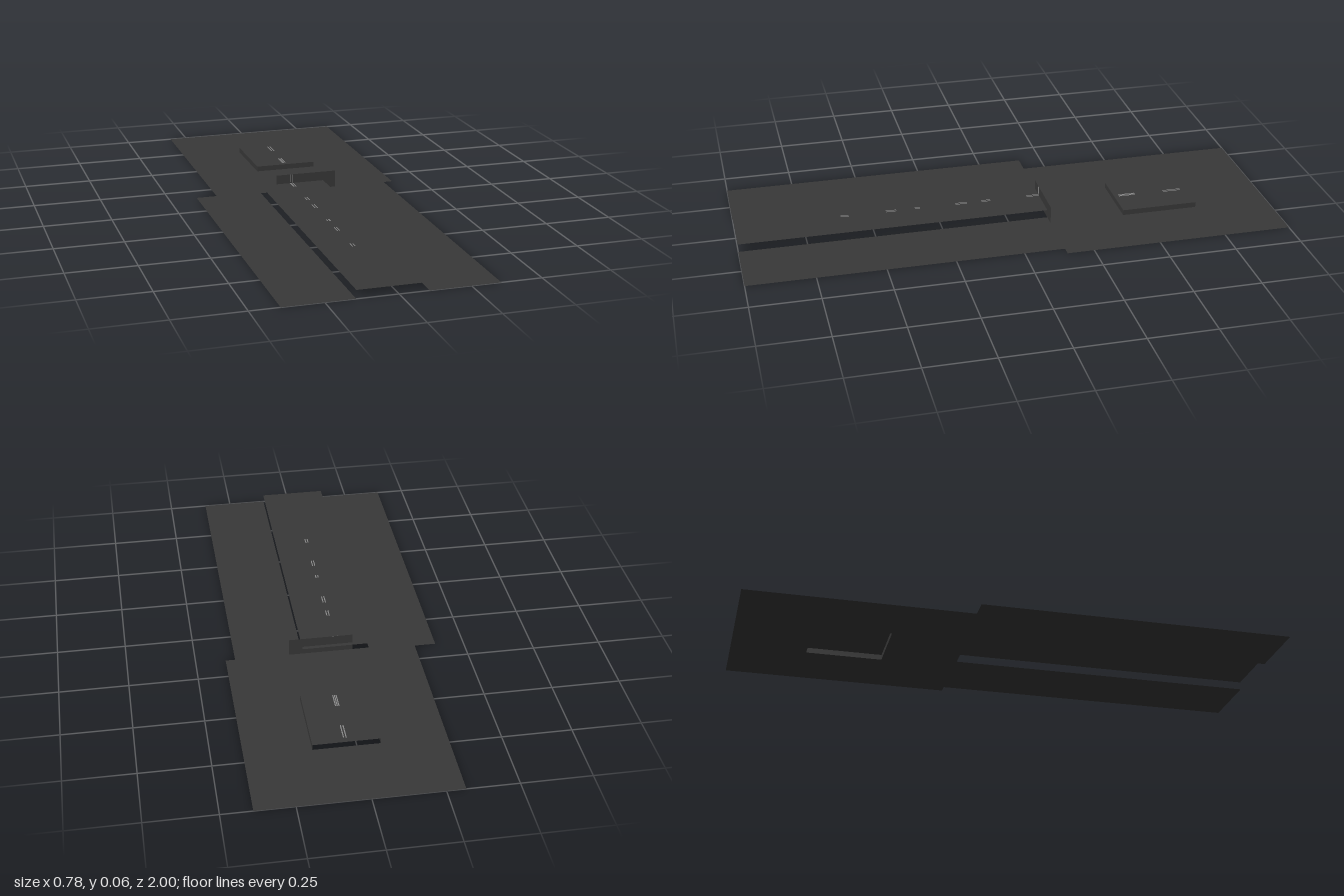
import * as THREE from 'three';

export function createModel() {
  const model = new THREE.Group();
  const material = (name, color) => {
    const m = new THREE.MeshStandardMaterial({ color, side: THREE.DoubleSide });
    m.name = name;
    return m;
  };
  const charcoal = material('charcoal', 0x383838);
  const grey = material('grey', 0x8a8a8a);

  const add = (parent, name, geometry, mat = charcoal) => {
    const mesh = new THREE.Mesh(geometry, mat);
    mesh.name = name;
    parent.add(mesh);
    return mesh;
  };

  // Flat horizontal sheet with an optional rectangular opening
  const corners = (x0, x1, z0, z1) =>
    [[x0, -z1], [x1, -z1], [x1, -z0], [x0, -z0]].map(p => new THREE.Vector2(...p));
  const sheet = (x0, x1, z0, z1, y, hole) => {
    const shape = new THREE.Shape(corners(x0, x1, z0, z1));
    if (hole) shape.holes.push(new THREE.Path(corners(...hole)));
    return new THREE.ShapeGeometry(shape).rotateX(-Math.PI / 2).translate(0, y, 0);
  };
  // Upright sheets facing front and facing sideways
  const frontSheet = (x0, x1, y0, y1, z) =>
    new THREE.PlaneGeometry(x1 - x0, y1 - y0).translate((x0 + x1) / 2, (y0 + y1) / 2, z);
  const sideSheet = (z0, z1, y0, y1, x) =>
    new THREE.PlaneGeometry(z1 - z0, y1 - y0).rotateY(Math.PI / 2)
      .translate(x, (y0 + y1) / 2, (z0 + z1) / 2);

  // Rear floor with the opening under the raised hatch
  const hatch = [-0.083, 0.154, -0.718, -0.432];
  add(model, 'rearFloor', sheet(-0.317, 0.39, -1, -0.15, 0, hatch));

  // Front floor on either side of the long raised panel
  add(model, 'frontFloorRight', sheet(-0.395, -0.145, -0.165, 1, 0));
  add(model, 'frontFloorLeft', sheet(0.105, 0.355, -0.165, 1, 0));
  add(model, 'raisedPanel', sheet(-0.145, 0.105, -0.165, 1, 0.03));

  // Upright board where the floors meet
  const [x0, x1, z0, z1] = hatch;
  add(model, 'uprightBoard', frontSheet(x0, x1, 0, 0.065, -0.15));

  // Hatch: top, front and two sides, open at the back
  const hatchGroup = new THREE.Group();
  hatchGroup.name = 'hatch';
  model.add(hatchGroup);
  add(hatchGroup, 'hatchTop', sheet(x0, x1, z0, z1, 0.02));
  add(hatchGroup, 'hatchFront', frontSheet(x0, x1, 0, 0.02, z1));
  for (const x of [x0, x1]) add(hatchGroup, 'hatchSide', sideSheet(z0, z1, 0, 0.02, x));

  // Fine grey scratches along the panel, the hatch and the board
  const dash = (x, za, zb, y) => add(model, 'scratch', sheet(x - 0.002, x + 0.002, za, zb, y), grey);
  for (const [za, zb] of [[-0.148, -0.1], [0.04, 0.075], [0.13, 0.175], [0.31, 0.33], [0.4, 0.44], [0.58, 0.61]])
    for (const x of [-0.027, -0.018]) dash(x, za, zb, 0.031);
  for (const x of [0.033, 0.042]) dash(x, -0.695, -0.625, 0.021);
  for (const x of [0.028, 0.034, 0.04]) dash(x, -0.515, -0.45, 0.021);
  for (const [x, y0] of [[-0.028, 0.035], [-0.02, 0.02]])
    add(model, 'boardScratch', frontSheet(x - 0.0015, x + 0.0015, y0, 0.065, -0.149), grey);

  return model;
}
